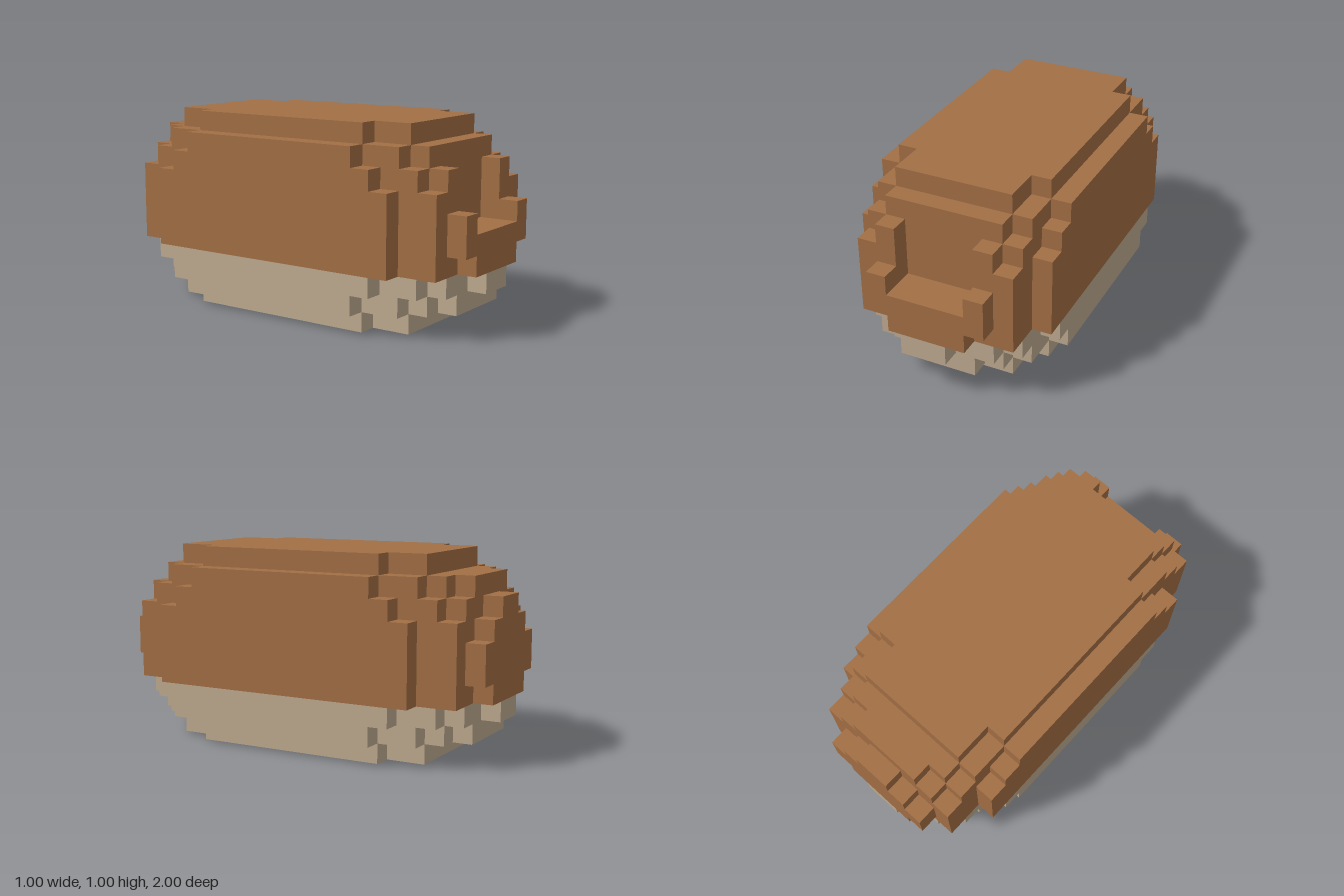
import * as THREE from 'three';
import { mergeGeometries } from 'three/addons/utils/BufferGeometryUtils.js';

const U = 0.1; // edge of one block

// Half length in blocks: one row per layer (bottom to top), one entry per column (centre to side)
const HALF_LENGTH = [
  [7, 7, 7, 5, 0],
  [9, 9, 8, 7, 5],
  [10, 9, 9, 8, 6],
  [10, 10, 9, 9, 7],
  [10, 10, 10, 9, 7],
  [10, 10, 10, 9, 7],
  [10, 10, 9, 9, 7],
  [10, 9, 9, 8, 6],
  [9, 9, 8, 7, 5],
  [7, 7, 7, 5, 0],
];

// Is block (x, y, z) solid? x runs -5..4, y 0..9, z -10..9
function solid(x, y, z) {
  const column = x < 0 ? -x - 1 : x;
  if (y < 0 || y > 9 || column > 4) return false;
  const back = HALF_LENGTH[y][column];
  // recess cut into the upper middle of the front end
  const front = column < 2 && y >= 5 ? Math.min(back, 8) : back;
  return z >= -back && z < front;
}

// The six sides of a block: neighbour offset and rotation of a +z facing plane
const SIDES = [
  [0, 0, 1, 0, 0],
  [0, 0, -1, 0, Math.PI],
  [1, 0, 0, 0, Math.PI / 2],
  [-1, 0, 0, 0, -Math.PI / 2],
  [0, 1, 0, -Math.PI / 2, 0],
  [0, -1, 0, Math.PI / 2, 0],
];

// Outer skin of the layers from y0 up to (not including) y1
function shell(name, y0, y1, material) {
  const faces = [];
  for (let y = y0; y < y1; y++)
    for (let x = -5; x < 5; x++)
      for (let z = -10; z < 10; z++) {
        if (!solid(x, y, z)) continue;
        for (const [dx, dy, dz, rx, ry] of SIDES) {
          if (solid(x + dx, y + dy, z + dz)) continue;
          faces.push(new THREE.PlaneGeometry(U, U).rotateX(rx).rotateY(ry).translate(
            (x + 0.5 + dx / 2) * U, (y + 0.5 + dy / 2) * U, (z + 0.5 + dz / 2) * U));
        }
      }
  const mesh = new THREE.Mesh(mergeGeometries(faces), material);
  mesh.name = name;
  return mesh;
}

export function createModel() {
  const crust = new THREE.MeshStandardMaterial({ color: 0xa36f45 });
  crust.name = 'crust brown';
  const base = new THREE.MeshStandardMaterial({ color: 0xbfab90 });
  base.name = 'pale beige';

  const model = new THREE.Group();
  model.name = 'blockLoaf';
  model.add(shell('paleUnderside', 0, 3, base));
  model.add(shell('brownBody', 3, 10, crust));
  return model;
}
